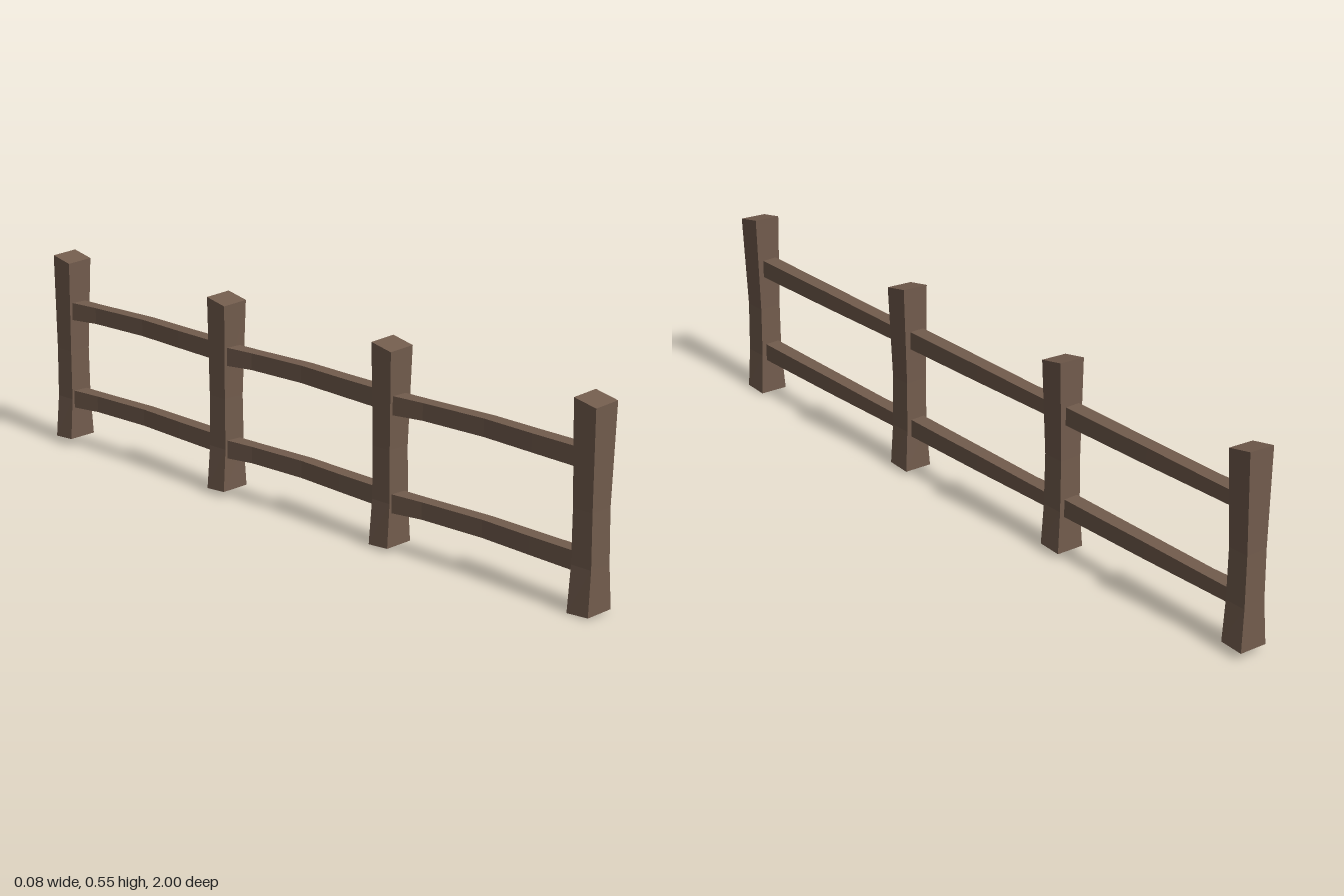
import * as THREE from 'three';

// Skin a list of four-cornered rings, closed at both ends
function loft(rings) {
  const positions = [];
  const quad = (a, b, c, d) => {
    for (const p of [a, b, c, a, c, d]) positions.push(...p);
  };
  for (let i = 0; i < rings.length - 1; i++) {
    for (let k = 0; k < 4; k++) {
      const n = (k + 1) % 4;
      quad(rings[i][k], rings[i][n], rings[i + 1][n], rings[i + 1][k]);
    }
  }
  const [a, b, c, d] = rings[0];
  quad(d, c, b, a);
  quad(...rings[rings.length - 1]);
  const geometry = new THREE.BufferGeometry();
  geometry.setAttribute('position', new THREE.Float32BufferAttribute(positions, 3));
  geometry.computeVertexNormals();
  return geometry;
}

// Post section: x limits, half depth, height, slope along x and z
function postRing([x0, x1, hz, y, sx, sz]) {
  const corner = (x, z) => [x, y + sx * x + sz * z, z];
  return [corner(x1, hz), corner(x1, -hz), corner(x0, -hz), corner(x0, hz)];
}

// Rail section: position along z, x limits, bottom, top, lift of the +x lower edge
function railRing([z, x0, x1, y0, y1, lift]) {
  return [[x1, y1, z], [x1, y0 + lift, z], [x0, y0, z], [x0, y1, z]];
}

export function createModel() {
  const wood = new THREE.MeshStandardMaterial({ color: 0x725c4d });
  wood.name = 'brown wood';
  wood.flatShading = true;

  const fence = new THREE.Group();
  fence.name = 'fence';
  const add = (name, geometry, y, z = 0) => {
    const mesh = new THREE.Mesh(geometry, wood);
    mesh.name = name;
    mesh.position.set(0, y, z);
    fence.add(mesh);
  };

  // Hewn posts: flared foot, slim waist, slanted top
  const postGeometry = loft([
    [-0.042, 0.039, 0.033, 0.005, 0.04, 0.06],
    [-0.033, 0.032, 0.031, 0.12, 0, 0],
    [-0.033, 0.03, 0.03, 0.26, 0, 0],
    [-0.036, 0.04, 0.034, 0.521, 0.07, -0.2],
  ].map(postRing));
  const postZ = [0.966, 0.303, -0.314, -0.966];
  const rise = 0.006; // each bay climbs a little
  postZ.forEach((z, i) => add('post', postGeometry, i * rise, z));

  // Slightly bowed rails, two in each bay
  for (let i = 0; i < 3; i++) {
    const start = postZ[i] - 0.015;
    const end = postZ[i + 1] + 0.015;
    const at = (t) => start + (end - start) * t;
    const railGeometry = loft([
      [at(0), -0.024, 0.018, -0.024, 0.025, 0],
      [at(0.25), -0.021, 0.02, -0.021, 0.026, 0],
      [at(0.5), -0.017, 0.022, -0.018, 0.028, 0],
      [at(0.82), -0.019, 0.02, -0.02, 0.025, 0.004],
      [at(1), -0.027, 0.019, -0.026, 0.024, 0.011],
    ].map(railRing));
    add('upperRail', railGeometry, 0.38 + i * rise);
    add('lowerRail', railGeometry, 0.126 + i * rise);
  }
  return fence;
}
